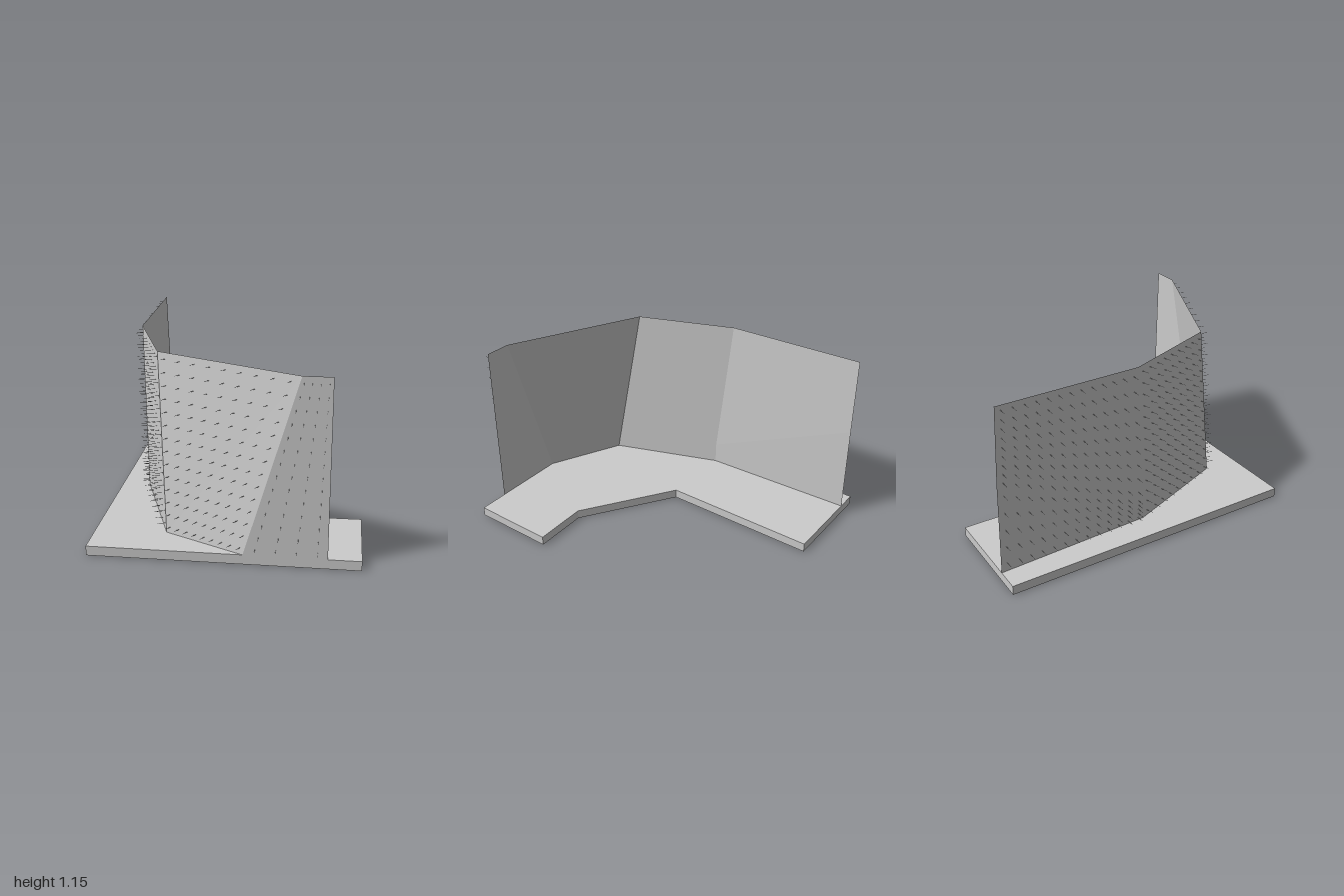
import * as THREE from 'three';
import { mergeGeometries } from 'three/addons/utils/BufferGeometryUtils.js';

const DECK = 0.06, TOP = 1.145, FRONT = 0.953;
const v = (x, y, z) => new THREE.Vector3(x, y, z);

// Corners of each wall panel, counter-clockwise from outside, starting bottom left
const heel = v(-0.37, DECK, 0.72), crown = v(-0.43, TOP, 0.545);
const kickFoot = v(-0.63, DECK, 0.01), kick = v(-0.63, 0.2, 0.01), kickTop = v(-0.66, TOP, -0.08);
const endFoot = v(-0.667, DECK, -1), endKick = v(-0.667, 0.65, -1), endTop = v(-0.682, 1.15, -0.996);
const toe = v(0.12, DECK, FRONT), brow = v(0.44, TOP, FRONT);

const panels = {
  uprightFrontPanel: [toe, v(0.61, DECK, FRONT), v(0.61, TOP, FRONT), brow],
  slopedFrontPanel: [heel, toe, brow, crown],
  cornerPanel: [kickFoot, heel, crown, kickTop, kick],
  lowerSidePanel: [endFoot, kickFoot, kick, endKick],
  upperSidePanel: [endKick, kick, kickTop, endTop],
};

// Flat sheet fanned from its first corner
function sheet(corners) {
  const points = [];
  for (let i = 1; i < corners.length - 1; i++) points.push(corners[0], corners[i], corners[i + 1]);
  const geometry = new THREE.BufferGeometry().setFromPoints(points);
  geometry.computeVertexNormals();
  return geometry;
}

// Grid of hair-thin pins standing out from a panel
function pins(corners) {
  const [a, b, c, d] = corners;
  const normal = b.clone().sub(a).cross(c.clone().sub(a)).normalize();
  const turn = new THREE.Quaternion().setFromUnitVectors(v(0, 0, 1), normal);
  const columns = Math.max(2, Math.round((a.distanceTo(b) + c.distanceTo(d)) / 2 / 0.08));
  const rows = Math.max(2, Math.round((a.distanceTo(d) + b.distanceTo(c)) / 2 / 0.08));
  const list = [];
  for (let i = 0; i < columns; i++) for (let j = 0; j < rows; j++) {
    const s = (i + 0.5) / columns, t = (j + 0.5) / rows;
    const p = a.clone().lerp(b, s).lerp(d.clone().lerp(c, s), t).addScaledVector(normal, 0.0235);
    list.push(new THREE.BoxGeometry(0.002, 0.002, 0.047).applyQuaternion(turn).translate(p.x, p.y, p.z));
  }
  return mergeGeometries(list);
}

export function createModel() {
  const group = new THREE.Group();
  const material = new THREE.MeshStandardMaterial({ color: 0xcccccc, flatShading: true });
  const thin = new THREE.MeshStandardMaterial({ color: 0xcccccc, flatShading: true, side: THREE.DoubleSide });
  const add = (name, geometry, mat = material) => {
    const mesh = new THREE.Mesh(geometry, mat);
    mesh.name = name;
    group.add(mesh);
  };

  // L-shaped floor with a slanted inner corner, drawn as (x, -z) and laid flat
  const outline = [[-0.808, -1], [-0.147, -1], [-0.147, 0.02], [0.45, 0.412], [0.805, 0.405], [0.805, FRONT], [-0.808, FRONT]];
  const floor = new THREE.Shape(outline.map(([x, z]) => new THREE.Vector2(x, -z)));
  add('floorPlate', new THREE.ExtrudeGeometry(floor, { depth: DECK, bevelEnabled: false }).rotateX(-Math.PI / 2));

  // Folded wall
  for (const [name, corners] of Object.entries(panels)) add(name, sheet(corners), thin);

  // Pins, with the corner panel treated as four-sided
  const pinAreas = Object.values(panels).map((corners) => corners.slice(0, 4));
  add('wallPins', mergeGeometries(pinAreas.map(pins)));
  return group;
}
